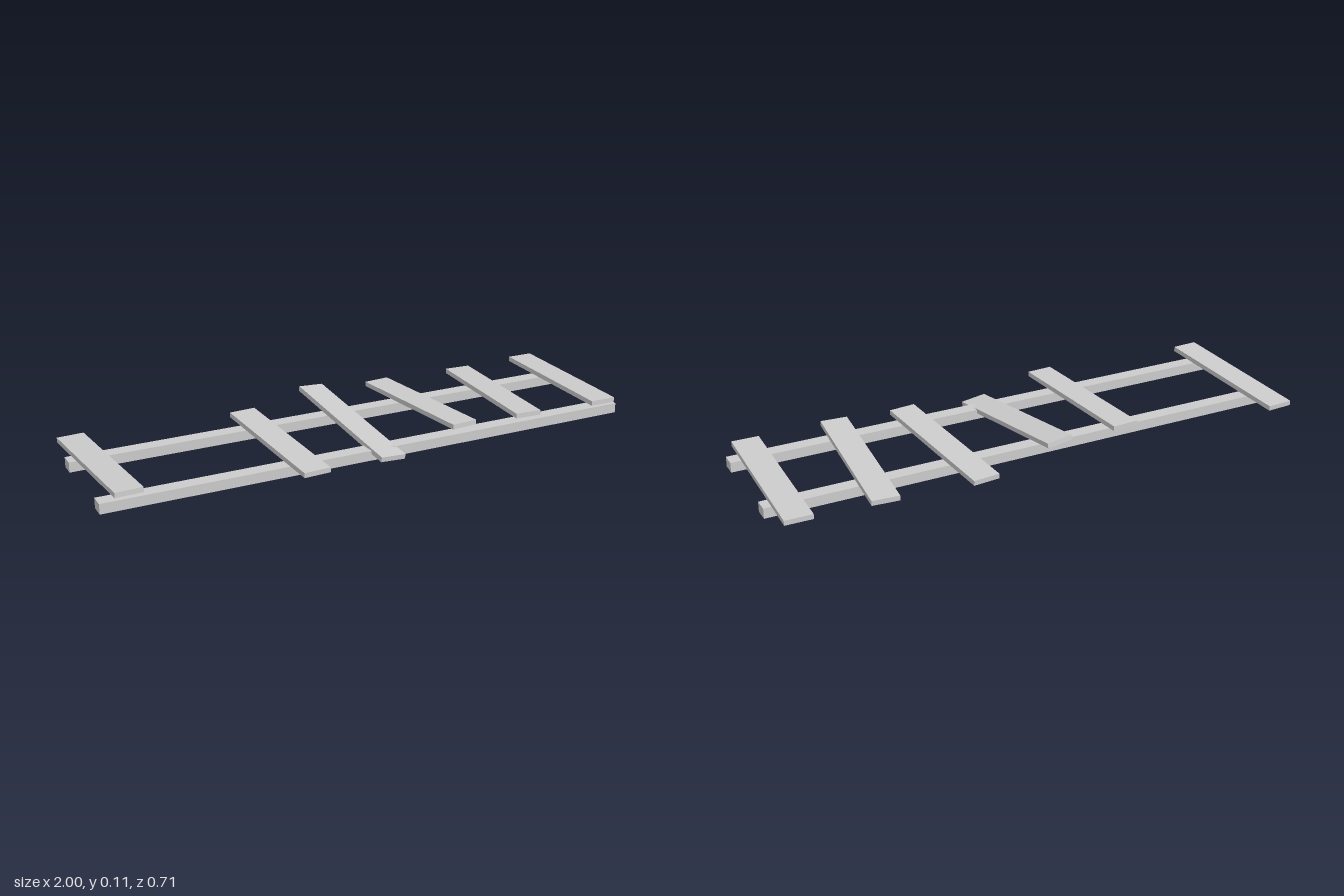
import * as THREE from 'three';

export function createModel() {
  const model = new THREE.Group();
  const material = new THREE.MeshStandardMaterial({ color: 0xcccccc, flatShading: true, side: THREE.DoubleSide });

  // two long beams lying on the ground
  const beamGeometry = new THREE.BoxGeometry(2, 0.037, 0.053);
  for (const [name, z] of [['frontBeam', 0.2], ['backBeam', -0.16]]) {
    const beam = new THREE.Mesh(beamGeometry, material);
    beam.name = name;
    beam.position.set(0, 0.0185, z);
    model.add(beam);
  }

  // loose planks, hollow underneath: a box without its bottom face
  const plankGeometry = new THREE.BoxGeometry(0.098, 0.018, 0.59);
  const index = Array.from(plankGeometry.index.array);
  index.splice(18, 6);
  plankGeometry.setIndex(index);
  plankGeometry.clearGroups();

  // x, y, z, pitch, yaw, roll
  const planks = [
    [-0.925, 0.06, -0.032, -0.048, 0.055, 0],
    [-0.307, 0.059, 0.053, 0.014, 0.055, 0],
    [0, 0.058, -0.005, 0.12, 0.082, -0.1],
    [0.31, 0.059, -0.059, -0.045, 0.092, 0],
    [0.615, 0.06, -0.041, -0.045, -0.073, 0],
    [0.925, 0.06, -0.04, -0.025, -0.018, 0],
  ];
  planks.forEach(([x, y, z, pitch, yaw, roll], i) => {
    const plank = new THREE.Mesh(plankGeometry, material);
    plank.name = `plank${i + 1}`;
    plank.position.set(x, y, z);
    plank.rotation.set(pitch, yaw, roll);
    model.add(plank);
  });

  return model;
}
